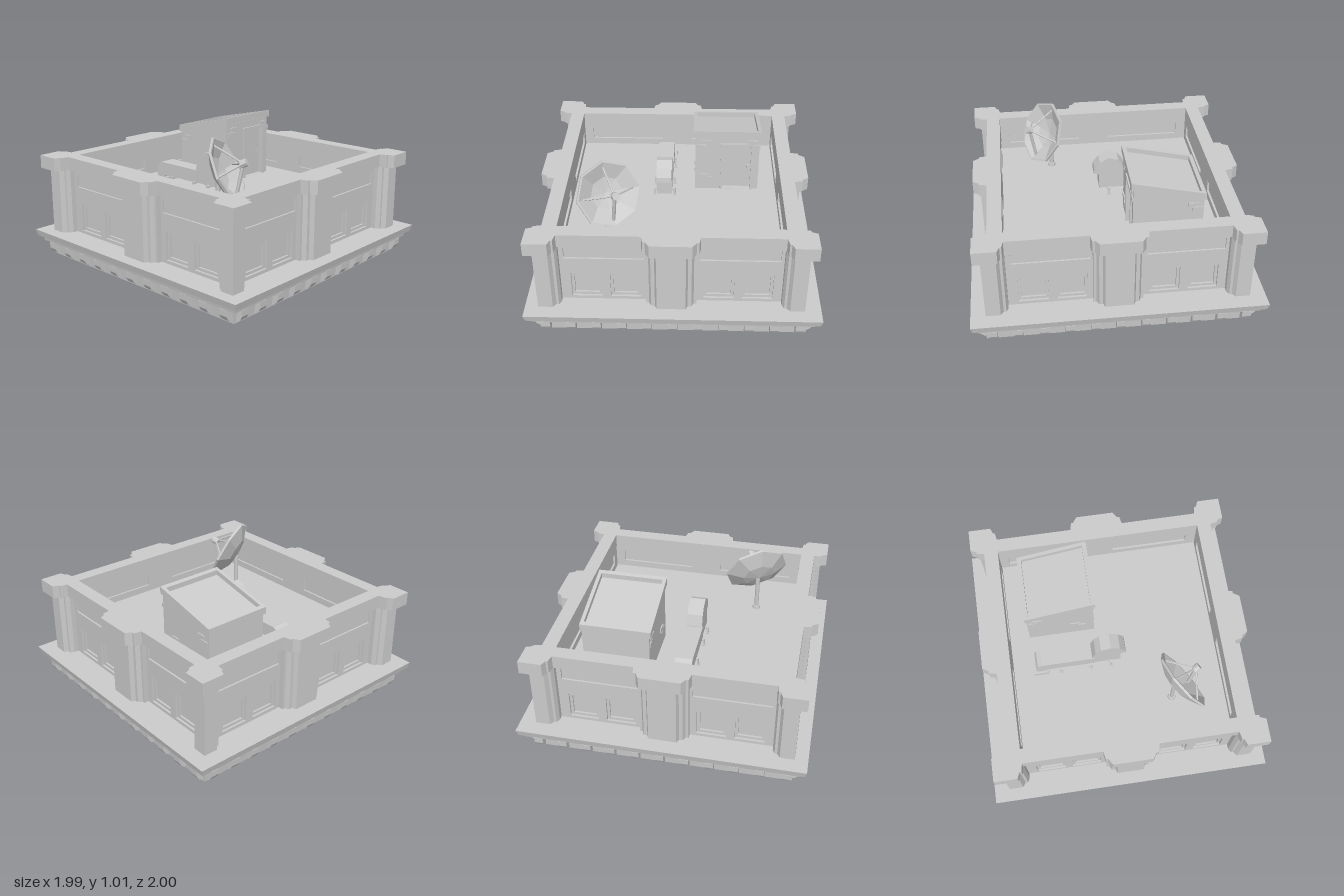
import * as THREE from 'three';

const mat = new THREE.MeshStandardMaterial({ color: 0xcccccc, flatShading: true, side: THREE.DoubleSide });
const FLOOR = 0.48;

function add(parent, name, geo, x = 0, y = 0, z = 0) {
  const m = new THREE.Mesh(geo, mat);
  m.name = name;
  m.position.set(x, y, z);
  parent.add(m);
  return m;
}
const box = (parent, name, w, h, d, x, y, z) => add(parent, name, new THREE.BoxGeometry(w, h, d), x, y, z);
const poly = pts => new THREE.Shape(pts.map(p => new THREE.Vector2(p[0], p[1])));
const rect = (x0, x1, y0, y1) => poly([[x0, y0], [x1, y0], [x1, y1], [x0, y1]]);
const extrude = (shape, depth) => new THREE.ExtrudeGeometry(shape, { depth, bevelEnabled: false });

// Wall plate with rectangular openings, facing z
function plate(x0, x1, y0, y1, holes, depth) {
  const s = rect(x0, x1, y0, y1);
  holes.forEach(h => s.holes.push(rect(...h)));
  return extrude(s, depth);
}
// Side profile given as [z, y], extruded along x
function sideProfile(pts, width) {
  return extrude(poly(pts.map(([z, y]) => [-z, y])), width).rotateY(Math.PI / 2);
}
// Bar between two points
function rod(parent, name, a, b, r, sides = 6) {
  const d = b.clone().sub(a);
  const m = add(parent, name, new THREE.CylinderGeometry(r, r, d.length(), sides));
  m.position.copy(a).addScaledVector(d, 0.5);
  m.quaternion.setFromUnitVectors(new THREE.Vector3(0, 1, 0), d.normalize());
}
// Stepped square ring: one half side is mirrored and turned four times
function steppedRing(half, inner, y0, y1) {
  const side = [...half.map(([x, d]) => [-x, d]), ...half.slice(1).reverse()];
  const pts = [];
  for (let k = 0; k < 4; k++) {
    const c = Math.round(Math.cos(k * Math.PI / 2)), s = Math.round(Math.sin(k * Math.PI / 2));
    side.forEach(([x, d]) => pts.push([x * c + d * s, -x * s + d * c]));
  }
  const shape = poly(pts);
  shape.holes.push(rect(-inner, inner, -inner, inner));
  return extrude(shape, y1 - y0).rotateX(-Math.PI / 2).translate(0, y0, 0);
}

function buildCornice() {
  const g = new THREE.Group();
  g.name = 'cornice';
  const profile = [[0, 0], [0.905, 0], [0.912, 0.08], [0.955, 0.1], [0.96, 0.13],
    [0.988, 0.138], [1, 0.185], [0, 0.185]]
    .map(([r, y]) => new THREE.Vector2(r * Math.SQRT2, y));
  add(g, 'corniceMoulding', new THREE.LatheGeometry(profile, 4, Math.PI / 4));
  // Curved brackets under the lip
  const bracket = sideProfile([[0.89, 0.012], [0.915, 0.012], [0.94, 0.03], [0.955, 0.056], [0.958, 0.1],
    [0.89, 0.1]], 0.062).translate(-0.031, 0, 0);
  for (let k = 0; k < 4; k++) {
    const side = new THREE.Group();
    side.name = 'bracketRow';
    side.rotation.y = k * Math.PI / 2;
    for (let i = -5; i <= 5; i++) add(side, 'bracket', bracket, i * 0.172);
    g.add(side);
  }
  g.scale.x = 0.995;
  return g;
}

function buildWalls() {
  const g = new THREE.Group();
  g.name = 'walls';
  g.position.set(-0.011, 0, 0.004);
  add(g, 'wallCore', steppedRing([[0.895, 0.895], [0.795, 0.895], [0.775, 0.865], [0.757, 0.865], [0.742, 0.835],
    [0.742, 0.77], [0.17, 0.77], [0.17, 0.835], [0.15, 0.835], [0.135, 0.865], [0.11, 0.865], [0.097, 0.895]],
  0.76, 0.18, 0.662));
  add(g, 'parapetCap', steppedRing([[0.943, 0.943], [0.782, 0.943], [0.765, 0.9], [0.752, 0.9], [0.742, 0.845],
    [0.192, 0.845], [0.182, 0.9], [0.165, 0.9], [0.138, 0.943]], 0.745, 0.66, 0.755));
  box(g, 'roofFloor', 1.53, 0.03, 1.53, 0, FLOOR - 0.015, 0);

  const windows = [[0.217, 0.42, 0.208, 0.405], [0.478, 0.682, 0.208, 0.405]];
  const panel = [0.19, 0.72, 0.53, 0.62];
  const inset = windows.map(([a, b, c, d]) => [a + 0.02, b - 0.02, c + 0.02, d - 0.02]);
  const outer = plate(0.155, 0.76, 0.18, 0.661, [...windows, panel], 0.03);
  const frame = plate(0.2, 0.7, 0.19, 0.42, inset, 0.014);
  const lining = plate(0, 0.745, FLOOR - 0.01, 0.661, [[0.12, 0.68, 0.53, 0.62]], 0.015);
  for (let k = 0; k < 4; k++) {
    const side = new THREE.Group();
    side.name = 'wallSide';
    side.rotation.y = k * Math.PI / 2;
    for (const s of [1, -1]) {
      const half = new THREE.Group();
      half.name = 'wallHalf';
      half.scale.x = s;
      half.position.x = s < 0 ? 0.01 : 0;
      add(half, 'facadePlate', outer, 0, 0, 0.77);
      add(half, 'windowFrames', frame, 0, 0, 0.77);
      add(half, 'innerLining', lining, 0, 0, 0.745);
      // Shallow backing of the long upper panel
      box(half, 'upperPanel', 0.53, 0.09, 0.018, 0.455, 0.575, 0.778);
      side.add(half);
    }
    g.add(side);
  }
  return g;
}

function buildStairHouse() {
  const g = new THREE.Group();
  g.name = 'stairHouse';
  add(g, 'houseBody', sideProfile([[-0.15, FLOOR], [-0.15, 0.915], [-0.595, 0.813], [-0.595, FLOOR]], 0.465), 0.135);
  add(g, 'doorWall', plate(0.135, 0.6, FLOOR, 0.922, [[0.335, 0.545, FLOOR + 0.001, 0.855]], 0.035), 0, 0, -0.15);
  box(g, 'doorHead', 0.24, 0.02, 0.015, 0.44, 0.863, -0.11);
  for (const x of [0.33, 0.55]) box(g, 'doorJamb', 0.018, 0.863 - FLOOR, 0.015, x, (0.863 + FLOOR) / 2, -0.11);
  box(g, 'doorHandle', 0.015, 0.03, 0.015, 0.52, 0.66, -0.142);

  // Sloping roof tray with a raised rim
  const slab = (z0, z1, lo, hi) => {
    const y = z => 0.977 + (z + 0.1) * 0.228;
    return [[z0, y(z0) - lo], [z1, y(z1) - lo], [z1, y(z1) - hi], [z0, y(z0) - hi]];
  };
  add(g, 'roofTray', sideProfile(slab(-0.6, -0.105, 0.05, 0.035), 0.48), 0.125);
  for (const x of [0.12, 0.585]) add(g, 'roofRimSide', sideProfile(slab(-0.605, -0.1, 0.05, 0), 0.025), x);
  for (const z of [-0.605, -0.13]) add(g, 'roofRimEnd', sideProfile(slab(z, z + 0.03, 0.05, 0), 0.49), 0.12);

  // Exposed bricks on the plaster
  for (const [x, y] of [[0.18, 0.845], [0.21, 0.88], [0.545, 0.885], [0.57, 0.845], [0.2, 0.6], [0.23, 0.57]])
    box(g, 'brick', 0.07, 0.03, 0.012, x, y, -0.112);
  for (const s of [0.133, 0.602])
    for (const [z, y] of [[-0.52, 0.775], [-0.55, 0.74], [-0.25, 0.64], [-0.21, 0.605]])
      box(g, 'brick', 0.012, 0.03, 0.07, s, y, z);
  return g;
}

function buildVent() {
  const g = new THREE.Group();
  g.name = 'ventDuct';
  box(g, 'ductFlange', 0.155, 0.03, 0.115, -0.088, FLOOR + 0.015, -0.54);
  add(g, 'duct', sideProfile([[-0.575, FLOOR], [-0.575, 0.58], [-0.56, 0.61], [-0.53, 0.625], [-0.15, 0.625],
    [-0.15, 0.53], [-0.485, 0.53], [-0.5, 0.52], [-0.5, FLOOR]], 0.12), -0.148);
  // Box with an elbow that arches forward over its front
  add(g, 'fanHood', sideProfile([[0.04, 0.53], [0.04, 0.645], [0.08, 0.655], [0.075, 0.69], [0.035, 0.745],
    [-0.03, 0.778], [-0.1, 0.76], [-0.14, 0.71], [-0.165, 0.63], [-0.165, 0.53]], 0.11), -0.143);
  // Saddle supports
  const legHeight = 0.535 - FLOOR;
  for (const z of [-0.4, -0.175, -0.03]) {
    box(g, 'supportBar', 0.155, 0.015, 0.02, -0.088, 0.527, z);
    for (const x of [-0.16, -0.016]) {
      box(g, 'supportLeg', 0.012, legHeight, 0.016, x, FLOOR + legHeight / 2, z);
      box(g, 'supportFoot', 0.022, 0.01, 0.028, x, FLOOR + 0.005, z);
    }
  }
  return g;
}

function buildDish() {
  const g = new THREE.Group();
  g.name = 'satelliteDish';
  const head = new THREE.Group();
  head.name = 'dishHead';
  head.position.set(-0.445, 0.79, 0.428);
  head.rotation.set(Math.PI / 2 - 0.44, 0.474, 0, 'YXZ');
  const bowl = [[0, -0.085], [0.12, -0.065], [0.235, -0.008], [0.235, 0.008], [0.222, 0.008], [0.115, -0.05], [0, -0.07]]
    .map(p => new THREE.Vector2(...p));
  add(head, 'dishBowl', new THREE.LatheGeometry(bowl, 8));
  add(head, 'feedHorn', new THREE.CylinderGeometry(0.027, 0.027, 0.045, 8), 0, 0.125, 0);
  for (let i = 0; i < 4; i++) {
    const a = i * Math.PI / 2;
    rod(head, 'feedStrut', new THREE.Vector3(Math.sin(a) * 0.185, -0.018, Math.cos(a) * 0.185),
      new THREE.Vector3(0, 0.12, 0), i === 0 ? 0.013 : 0.007);
  }
  g.add(head);
  rod(g, 'dishPole', new THREE.Vector3(-0.468, FLOOR, 0.365), new THREE.Vector3(-0.468, 0.745, 0.365), 0.016, 8);
  add(g, 'dishFoot', new THREE.CylinderGeometry(0.026, 0.03, 0.025, 8), -0.468, FLOOR + 0.012, 0.365);
  return g;
}

export function createModel() {
  const model = new THREE.Group();
  model.name = 'rooftop';
  model.add(buildCornice(), buildWalls(), buildStairHouse(), buildVent(), buildDish());
  return model;
}
